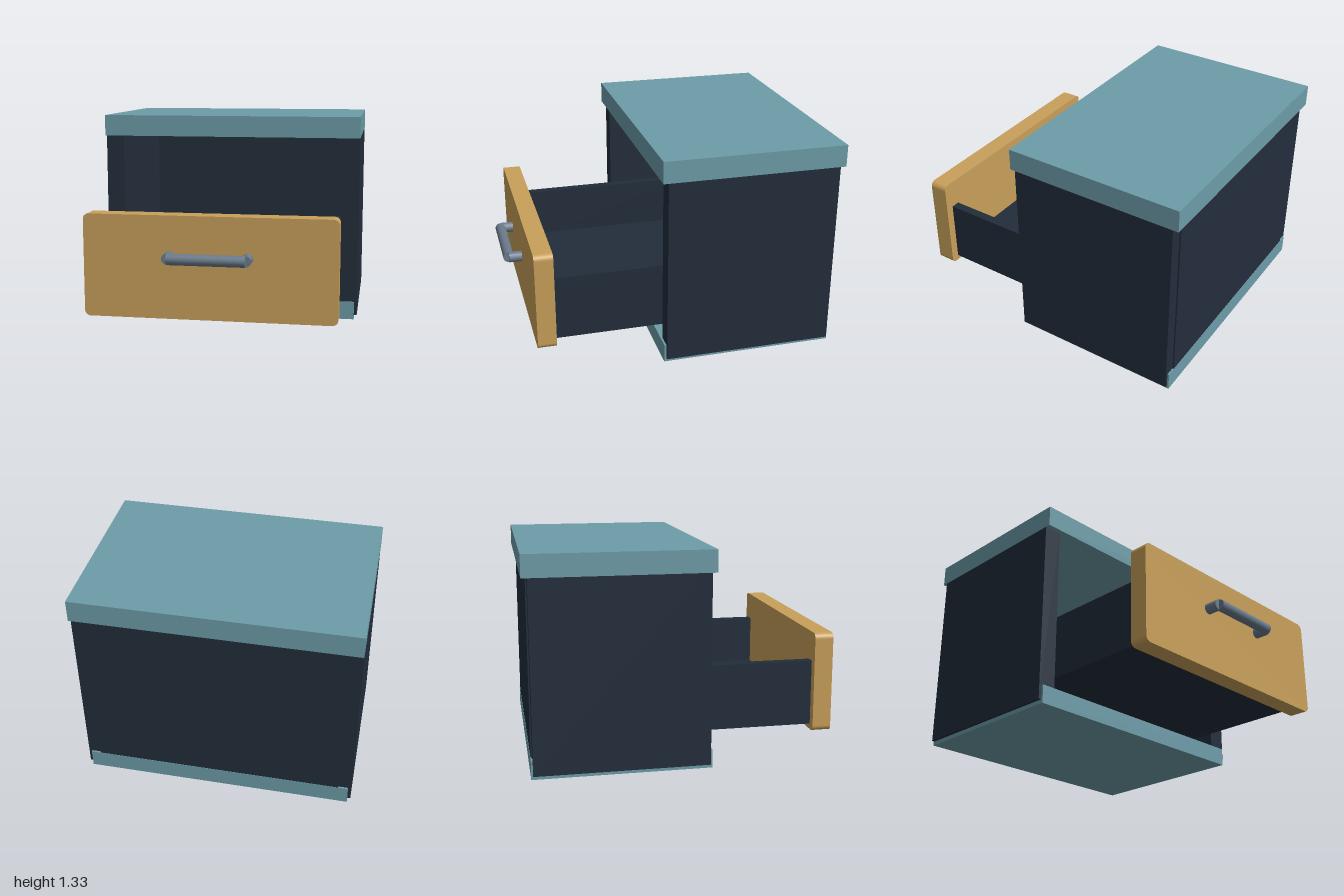
import * as THREE from 'three';

const mat = (name, color) => {
  const m = new THREE.MeshStandardMaterial({ color });
  m.name = name;
  return m;
};

export function createModel() {
  const teal = mat('teal', 0x6d9ca8);
  const navy = mat('navy', 0x222d3b);
  const ochre = mat('ochre', 0xc8a05a);
  const steel = mat('steel', 0x6b7b8c);

  const model = new THREE.Group();
  model.name = 'nightstand';

  const add = (parent, name, geometry, material) => {
    const mesh = new THREE.Mesh(geometry, material);
    mesh.name = name;
    parent.add(mesh);
    return mesh;
  };
  // box given by its limits on each axis
  const box = (parent, name, material, [x0, x1], [y0, y1], [z0, z1]) => {
    const mesh = add(parent, name, new THREE.BoxGeometry(x1 - x0, y1 - y0, z1 - z0), material);
    mesh.position.set((x0 + x1) / 2, (y0 + y1) / 2, (z0 + z1) / 2);
    return mesh;
  };
  const mirrored = (s, a, b) => (s > 0 ? [a, b] : [-b, -a]);

  // cabinet
  const cabinet = new THREE.Group();
  cabinet.name = 'cabinet';
  model.add(cabinet);
  box(cabinet, 'top', teal, [-0.84, 0.84], [1.19, 1.325], [-1, 0.127]);
  box(cabinet, 'base', teal, [-0.82, 0.82], [0, 0.115], [-0.976, 0.108]);
  box(cabinet, 'backPanel', navy, [-0.76, 0.76], [0.06, 1.24], [-0.974, -0.875]);
  for (const s of [1, -1]) {
    box(cabinet, s > 0 ? 'leftSide' : 'rightSide', navy,
      mirrored(s, 0.723, 0.839), [0.025, 1.24], [-0.965, 0.095]);
  }

  // open drawer
  const drawer = new THREE.Group();
  drawer.name = 'drawer';
  model.add(drawer);
  for (const s of [1, -1]) {
    box(drawer, s > 0 ? 'drawerLeftSide' : 'drawerRightSide', navy,
      mirrored(s, 0.65, 0.705), [0.2, 0.605], [-0.4, 0.765]);
  }
  box(drawer, 'drawerBottom', navy, [-0.65, 0.65], [0.202, 0.28], [-0.4, 0.765]);

  // drawer front with rounded corners
  const w = 0.757, y0 = 0.165, y1 = 0.785, r = 0.035;
  const outline = new THREE.Shape();
  outline.absarc(w - r, y0 + r, r, -Math.PI / 2, 0);
  outline.absarc(w - r, y1 - r, r, 0, Math.PI / 2);
  outline.absarc(-w + r, y1 - r, r, Math.PI / 2, Math.PI);
  outline.absarc(-w + r, y0 + r, r, Math.PI, Math.PI * 1.5);
  outline.closePath();
  const front = add(drawer, 'drawerFront',
    new THREE.ExtrudeGeometry(outline, { depth: 0.115, bevelEnabled: false, curveSegments: 6 }), ochre);
  front.position.z = 0.76;

  // handle: two posts and a cross bar
  const handle = new THREE.Group();
  handle.name = 'handle';
  handle.position.set(0, 0.544, 0);
  drawer.add(handle);
  const bar = add(handle, 'handleBar', new THREE.CylinderGeometry(0.034, 0.034, 0.46, 16), steel);
  bar.rotation.z = Math.PI / 2;
  bar.position.z = 0.966;
  for (const s of [1, -1]) {
    const post = add(handle, s > 0 ? 'leftPost' : 'rightPost',
      new THREE.CylinderGeometry(0.033, 0.033, 0.08, 16), steel);
    post.rotation.x = Math.PI / 2;
    post.position.set(s * 0.23, 0, 0.925);
  }
  return model;
}
